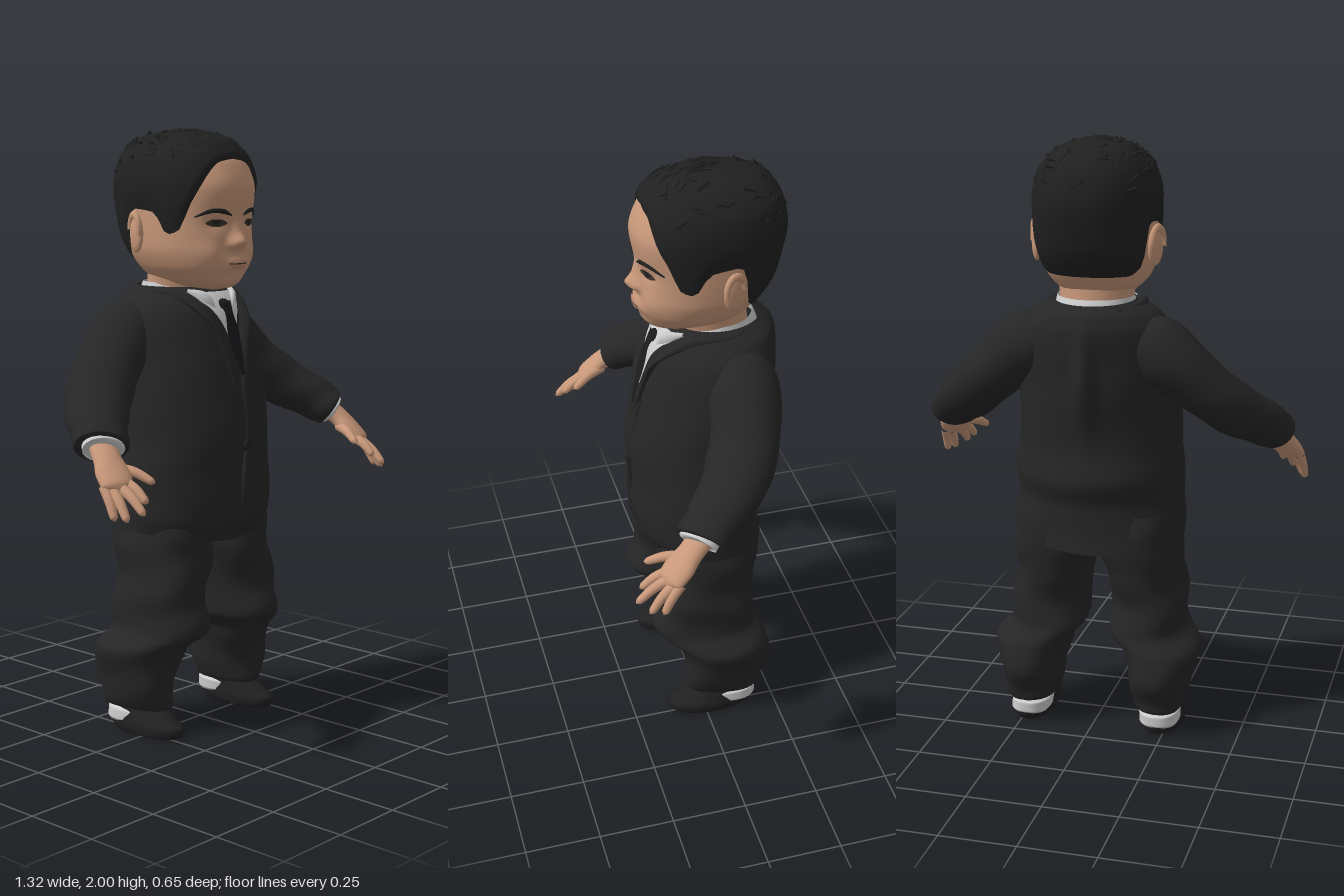
import * as THREE from 'three';

const mat = (name, color, side = THREE.FrontSide) => {
  const m = new THREE.MeshStandardMaterial({ color, side });
  m.name = name;
  return m;
};

// Monotone cubic lookup in rows of [key, ...values]
function at(rows, k) {
  const n = rows.length;
  let i = 0;
  while (i < n - 2 && k > rows[i + 1][0]) i++;
  const a = rows[i], b = rows[i + 1], h = b[0] - a[0];
  const t = Math.min(1, Math.max(0, (k - a[0]) / h));
  const slope = (j, c) => (rows[j + 1][c] - rows[j][c]) / (rows[j + 1][0] - rows[j][0]);
  const tangent = (j, c) => {
    if (j === 0) return slope(0, c);
    if (j === n - 1) return slope(n - 2, c);
    const p = slope(j - 1, c), q = slope(j, c);
    return p * q > 0 ? (2 * p * q) / (p + q) : 0;
  };
  return a.slice(1).map((v, c) => {
    c++;
    const t2 = t * t, t3 = t2 * t;
    return (2 * t3 - 3 * t2 + 1) * v + (t3 - 2 * t2 + t) * h * tangent(i, c)
      + (3 * t2 - 2 * t3) * b[c] + (t3 - t2) * h * tangent(i + 1, c);
  });
}

// Grid surface from fn(u, v); closed surfaces join in u
function grid(fn, nu, nv, closed = true) {
  const pos = [], idx = [], cols = closed ? nu : nu + 1;
  for (let j = 0; j <= nv; j++)
    for (let i = 0; i < cols; i++) pos.push(...fn(i / nu, j / nv));
  for (let j = 0; j < nv; j++)
    for (let i = 0; i < nu; i++) {
      const a = j * cols + i, b = j * cols + (i + 1) % cols, c = a + cols, d = b + cols;
      idx.push(a, b, d, a, d, c);
    }
  const g = new THREE.BufferGeometry();
  g.setAttribute('position', new THREE.Float32BufferAttribute(pos, 3));
  g.setIndex(idx);
  g.computeVertexNormals();
  return g;
}

// Rounded cross-section: centre x, half width, front z, back z
const pw = (v, p) => Math.sign(v) * Math.abs(v) ** (2 / p);
const ringPoint = ([cx, w, zf, zb], a, p) => {
  const cz = (zf + zb) / 2, r = (zf - zb) / 2;
  return [cx + w * pw(Math.sin(a), p), cz + r * pw(Math.cos(a), p)];
};
function loft(rows, { s = 1, p = 2.3, nu = 48, sub = 5, warp = (q) => q } = {}) {
  const nv = (rows.length - 1) * sub;
  return grid((u, v) => {
    const f = v * (rows.length - 1), i = Math.min(rows.length - 2, Math.floor(f + 1e-6));
    const y = rows[i][0] + (rows[i + 1][0] - rows[i][0]) * (f - i);
    const r = at(rows, y), a = u * Math.PI * 2;
    r[0] *= s;
    const [x, z] = ringPoint(r, a, p);
    return warp([x, y, z], a);
  }, nu, nv);
}
const frontZ = (rows, x, y, p) => {
  const [, w, zf, zb] = at(rows, y);
  const c = (1 - Math.min(1, Math.abs(x / w)) ** p) ** (1 / p);
  return (zf + zb) / 2 + ((zf - zb) / 2) * c;
};
// Thin plate on a front surface zAt(x, y), rows of [y, left, right]
const patch = (zAt, rows, off) => grid((u, v) => {
  const y = rows[0][0] + (rows[rows.length - 1][0] - rows[0][0]) * v;
  const [l, r] = at(rows, y), x = l + (r - l) * u;
  return [x, y, zAt(x, y) + off];
}, 10, 14, false);

// Tapered tube through points [x, y, z, half width, half thickness]
function limb(pts, s = 1, nu = 20, warp = () => 1) {
  const curve = new THREE.CatmullRomCurve3(pts.map((q) => new THREE.Vector3(q[0] * s, q[1], q[2])));
  const radii = pts.map((q, i) => [i, q[3], q[4] ?? q[3]]);
  return grid((u, v) => {
    const c = curve.getPoint(v), t = curve.getTangent(v), a = u * Math.PI * 2;
    const ref = Math.abs(t.y) > 0.97 ? new THREE.Vector3(0, 0, 1) : new THREE.Vector3(0, 1, 0);
    const n = t.clone().cross(ref).normalize(), b = t.clone().cross(n);
    const [rx, rz] = at(radii, v * (pts.length - 1)), k = warp(a, v);
    return c.addScaledVector(n, rx * k * Math.cos(a)).addScaledVector(b, rz * k * Math.sin(a)).toArray();
  }, nu, (pts.length - 1) * 6);
}

const HEAD = [
  [1.475, 0, 0.01, 0.07, 0.03], [1.485, 0, 0.07, 0.12, -0.08], [1.51, 0, 0.12, 0.14, -0.17],
  [1.56, 0, 0.165, 0.152, -0.22], [1.62, 0, 0.185, 0.157, -0.255], [1.7, 0, 0.188, 0.16, -0.28],
  [1.8, 0, 0.188, 0.175, -0.3], [1.88, 0, 0.172, 0.15, -0.285], [1.94, 0, 0.126, 0.1, -0.245],
  [1.97, 0, 0.078, 0.03, -0.18], [1.985, 0, 0.0005, -0.064, -0.065]];
// Face relief: [x, y, height, spread x, spread y]
const FACE = [[0, 1.635, 0.037, 0.029, 0.022], [0, 1.67, 0.014, 0.02, 0.03], [0, 1.56, 0.02, 0.06, 0.026],
  [0, 1.51, 0.008, 0.05, 0.02], ...[1, -1].flatMap((s) => [[s * 0.078, 1.695, -0.01, 0.035, 0.022],
    [s * 0.1, 1.59, 0.012, 0.045, 0.045], [s * 0.028, 1.627, 0.014, 0.014, 0.012]])];
const relief = (x, y) => FACE.reduce((t, [fx, fy, h, sx, sy]) =>
  t + h * Math.exp(-(((x - fx) / sx) ** 2) - ((y - fy) / sy) ** 2), 0);
const faceZ = (x, y) => frontZ(HEAD, x, y, 2.3) + relief(x, y);
const HAIRLINE = [[0, 1.9], [18, 1.89], [32, 1.855], [48, 1.775], [60, 1.675], [72, 1.66], [84, 1.73],
  [102, 1.74], [120, 1.6], [135, 1.575], [180, 1.575]];
const TORSO = [
  [0.69, 0, 0.29, 0.16, -0.245], [0.74, 0, 0.292, 0.188, -0.24], [0.81, 0, 0.283, 0.2, -0.24],
  [0.9, 0, 0.287, 0.195, -0.265], [1.0, 0, 0.275, 0.2, -0.255], [1.2, 0, 0.268, 0.168, -0.275],
  [1.32, 0, 0.26, 0.138, -0.285], [1.4, 0, 0.24, 0.115, -0.29], [1.45, 0, 0.2, 0.088, -0.28],
  [1.485, 0, 0.13, 0.055, -0.245]];
const chestZ = (x, y) => frontZ(TORSO, x, y, 2);
const LEG = [
  [0.08, 0.222, 0.02, -0.05, -0.1], [0.085, 0.222, 0.075, 0.05, -0.2], [0.12, 0.225, 0.088, 0.06, -0.21],
  [0.2, 0.225, 0.108, 0.062, -0.235], [0.29, 0.222, 0.126, 0.095, -0.23], [0.36, 0.172, 0.13, 0.16, -0.195],
  [0.45, 0.175, 0.125, 0.14, -0.185], [0.55, 0.155, 0.13, 0.14, -0.19], [0.65, 0.142, 0.138, 0.135, -0.22],
  [0.78, 0.14, 0.13, 0.1, -0.2]];
const SHOE = [[0, 0.23, 0.0005, -0.03, -0.031], [0.003, 0.23, 0.066, 0.115, -0.17], [0.03, 0.23, 0.07, 0.123, -0.185],
  [0.055, 0.228, 0.065, 0.085, -0.182], [0.085, 0.225, 0.058, 0.035, -0.175], [0.12, 0.225, 0.05, 0.0, -0.16]];
const SOCK = [[0.028, 0.228, 0.06, -0.06, -0.18], [0.038, 0.228, 0.068, -0.02, -0.19],
  [0.068, 0.226, 0.068, -0.005, -0.19], [0.078, 0.225, 0.055, -0.02, -0.17]];

export function createModel() {
  const root = new THREE.Group();
  root.name = 'suitedChild';
  const skin = mat('skin', 0xc8987a), lip = mat('lips', 0xb9876e), hairMat = mat('hair', 0x202020, THREE.DoubleSide);
  const suit = mat('suitCloth', 0x262626, THREE.DoubleSide), shirt = mat('shirt', 0xcbcbcb, THREE.DoubleSide);
  const tie = mat('tie', 0x1b1b1e), shoe = mat('shoeLeather', 0x202020), eye = mat('eye', 0x3a302b);
  const add = (name, geo, m, parent = root) => {
    const mesh = new THREE.Mesh(geo, m);
    mesh.name = name;
    parent.add(mesh);
    return mesh;
  };
  const ball = (name, m, p, r, ry = 0) => {
    const b = add(name, new THREE.SphereGeometry(1, 20, 14), m);
    b.position.set(...p);
    b.scale.set(...r);
    b.rotation.y = ry;
  };

  // Head with sculpted face, neck and lips
  add('head', loft(HEAD, { nu: 160, sub: 8, warp: ([x, y, z], a) =>
    [x, y, z + (Math.cos(a) > 0 ? relief(x, y) * Math.min(1, Math.cos(a) * 4) : 0)] }), skin);
  add('neck', limb([[0, 1.4, -0.09, 0.125, 0.12], [0, 1.47, -0.085, 0.12, 0.115], [0, 1.56, -0.07, 0.13, 0.125]]), skin);
  add('upperLip', patch(faceZ, [[1.566, -0.045, 0.045], [1.572, -0.035, 0.035], [1.579, -0.012, 0.012]], 0.004), lip);
  add('lowerLip', patch(faceZ, [[1.546, -0.018, 0.018], [1.555, -0.034, 0.034], [1.562, -0.042, 0.042]], 0.004), lip);
  add('mouthLine', patch(faceZ, [[1.562, -0.04, 0.04], [1.566, -0.044, 0.044]], 0.003), eye);
  for (const s of [1, -1]) {
    const lens = (w, h) => [[1.695 - h, s * 0.078 - w * 0.3, s * 0.078 + w * 0.3],
      [1.695, s * 0.078 - w, s * 0.078 + w], [1.695 + h, s * 0.078 - w * 0.5, s * 0.078 + w * 0.5]];
    add('eye', patch(faceZ, lens(0.036, 0.012), 0.004), eye);
    add('pupil', patch(faceZ, lens(0.012, 0.01), 0.006), hairMat);
    add('eyebrow', limb([[0.028, 1.72, 0.002], [0.06, 1.733, 0.008], [0.1, 1.735, 0.007], [0.14, 1.715, 0.002]]
      .map(([x, y, r]) => [x, y, faceZ(x, y) + 0.001, 0.005, r]), s, 8), hairMat);
    ball('ear', skin, [s * 0.197, 1.66, -0.1], [0.016, 0.062, 0.038], s * 0.35);
    const rim = add('earRim', new THREE.TorusGeometry(0.033, 0.01, 8, 24, Math.PI * 1.1), skin);
    rim.position.set(s * 0.205, 1.672, -0.102);
    rim.scale.set(1, 1.45, 1);
    rim.rotation.y = Math.PI / 2 + s * 0.35;
  }

  // Hair cap with a shaped hairline, closed at the crown
  const hairPoint = (u, v) => {
    const deg = u * 360, line = at(HAIRLINE, deg > 180 ? 360 - deg : deg)[0];
    const y = line + (1.985 - line) * Math.sin(v * Math.PI / 2);
    const [cx, w, zf, zb] = at(HEAD, y);
    const f = (0.003 + Math.min(1, v * 8) * 0.011) * (1 - v ** 12);
    const [x, z] = ringPoint([cx, w + f, zf + f, zb - f * 1.4], u * Math.PI * 2, 2.3);
    return [x, y + 0.011 * Math.min(1, v * 3), z];
  };
  add('hair', grid(hairPoint, 72, 28), hairMat);
  let seed = 7;
  const rnd = () => (seed = (seed * 16807) % 2147483647) / 2147483647;
  const tufts = new THREE.Group();
  tufts.name = 'hairTufts';
  root.add(tufts);
  for (let i = 0; i < 90; i++) {
    const t = add('hairTuft', new THREE.ConeGeometry(0.007, 0.05, 4), hairMat, tufts);
    t.position.set(...hairPoint(rnd(), 0.45 + rnd() * 0.5));
    const out = t.position.clone().sub(new THREE.Vector3(0, 1.75, -0.06)).normalize();
    const along = new THREE.Vector3(rnd() - 0.5, 0, -0.3 - rnd() * 0.6).projectOnPlane(out).normalize();
    t.quaternion.setFromUnitVectors(new THREE.Vector3(0, 1, 0), along.addScaledVector(out, 0.12).normalize());
  }

  // Jacket with a dipping hem, soft folds and a raised seam down the back
  add('jacket', loft(TORSO, { nu: 96, sub: 7, p: 2, warp: ([x, y, z], a) => {
    const c = Math.cos(a), fade = Math.min(1, (1.485 - y) * 4);
    const k = 1 + (0.008 * Math.sin(a * 5 + y * 14) + 0.007 * Math.sin(a * 3 - y * 23)) * fade;
    const seam = c < 0 ? 0.04 * Math.exp(-(((x + 0.01) / 0.035) ** 2) - ((y - 1.34) / 0.22) ** 2) * fade : 0;
    return [x * k, y - Math.max(0, 0.8 - y) * 0.35 * c * c, z * k - seam];
  } }), suit);
  const edge = [[0.03, 1.22], [0.015, 1.0], [0.005, 0.85], [-0.005, 0.74], [-0.015, 0.66]];
  add('jacketEdge', limb(edge.map(([x, y]) => [x, y, chestZ(x, y) - 0.003, 0.014, 0.011])), suit);
  ball('jacketButton', shoe, [0.01, 0.97, 0.202], [0.02, 0.02, 0.01]);

  // Shirt front, collar and tie
  add('shirtFront', patch(chestZ, [[1.26, 0, 0.015], [1.36, -0.03, 0.035], [1.47, -0.1, 0.1]], 0.007), shirt);
  add('shirtCollar', loft([[1.45, 0, 0.135, 0.06, -0.235], [1.48, 0, 0.13, 0.05, -0.225],
    [1.498, 0, 0.126, 0.035, -0.215]], { p: 2, warp: ([x, y, z], a) => [x, y - 0.03 * Math.max(0, Math.cos(a)), z] }), shirt);
  add('tie', patch(chestZ, [[1.2, 0.003, 0.02], [1.34, -0.026, 0.03], [1.4, -0.018, 0.02], [1.44, -0.03, 0.03]], 0.014), tie);
  ball('tieKnot', tie, [0, 1.42, 0.1], [0.028, 0.028, 0.02]);
  for (const s of [1, -1]) {
    add('collarWing', limb([[0.1, 1.475, 0.035, 0.006], [0.07, 1.45, 0.08, 0.012, 0.022], [0.04, 1.41, 0.108, 0.004]], s, 10), shirt);
    const fold = [[0.09, 1.4, 0.025, 0.011], [0.05, 1.31, 0.025, 0.009], [0.02, 1.17, 0.008, 0.008]];
    add('lapel', limb([[0.1, 1.465, -0.22, 0.012], [0.145, 1.465, -0.1, 0.018], [0.13, 1.46, 0.01, 0.02],
      ...fold.map(([x, y, w, t]) => [x, y, chestZ(x, y) + 0.003, w, t])], s, 12), suit);

    // Sleeves, cuffs and hands
    add('sleeve', limb([[0.13, 1.355, -0.14, 0.08, 0.085], [0.22, 1.325, -0.13, 0.115, 0.112], [0.34, 1.225, -0.1, 0.112, 0.094],
      [0.445, 1.13, -0.035, 0.108, 0.088], [0.53, 1.062, 0.06, 0.09, 0.076], [0.565, 1.025, 0.108, 0.085, 0.066],
      [0.567, 1.023, 0.11, 0.03, 0.03]],
      s, 28, (a, v) => 1 + 0.022 * Math.sin(v * 34 + a * 2)), suit);
    add('shirtCuff', limb([[0.55, 1.04, 0.09, 0.065, 0.052], [0.567, 1.018, 0.118, 0.067, 0.052], [0.569, 1.016, 0.12, 0.03, 0.03]], s), shirt);
    add('palm', limb([[0.555, 1.03, 0.1, 0.045, 0.035], [0.575, 0.995, 0.14, 0.045, 0.032], [0.59, 0.955, 0.18, 0.056, 0.03],
      [0.604, 0.922, 0.215, 0.052, 0.024], [0.61, 0.905, 0.23, 0.01, 0.01]], s), skin);
    const fingers = [[0.635, 0.92, 0.19, 0.65, 0.825, 0.25], [0.62, 0.915, 0.205, 0.635, 0.825, 0.29],
      [0.597, 0.92, 0.215, 0.598, 0.845, 0.325], [0.572, 0.93, 0.21, 0.565, 0.875, 0.305],
      [0.555, 0.965, 0.16, 0.502, 0.925, 0.275]];
    for (const [x, y, z, X, Y, Z] of fingers)
      add('finger', limb([[x, y, z, 0.018], [(x + X) / 2, (y + Y) / 2 + 0.008, (z + Z) / 2, 0.016],
        [x + (X - x) * 0.9, y + (Y - y) * 0.9, z + (Z - z) * 0.9, 0.012], [X, Y, Z, 0.002]], s, 12), skin);

    // Trousers, socks and shoes
    add('trouserLeg', loft(LEG, { s, warp: ([x, y, z], a) => {
      const k = 0.004 * Math.sin(y * 37 + a * 2 * s) + 0.004 * Math.sin(y * 21 - a * 3 * s);
      return [x + k * Math.sin(a), y, z + k * Math.cos(a)];
    } }), suit);
    add('sock', loft(SOCK, { s, nu: 32 }), shirt);
    add('shoe', loft(SHOE, { s, nu: 32, p: 2.1 }), shoe);
  }
  return root;
}
